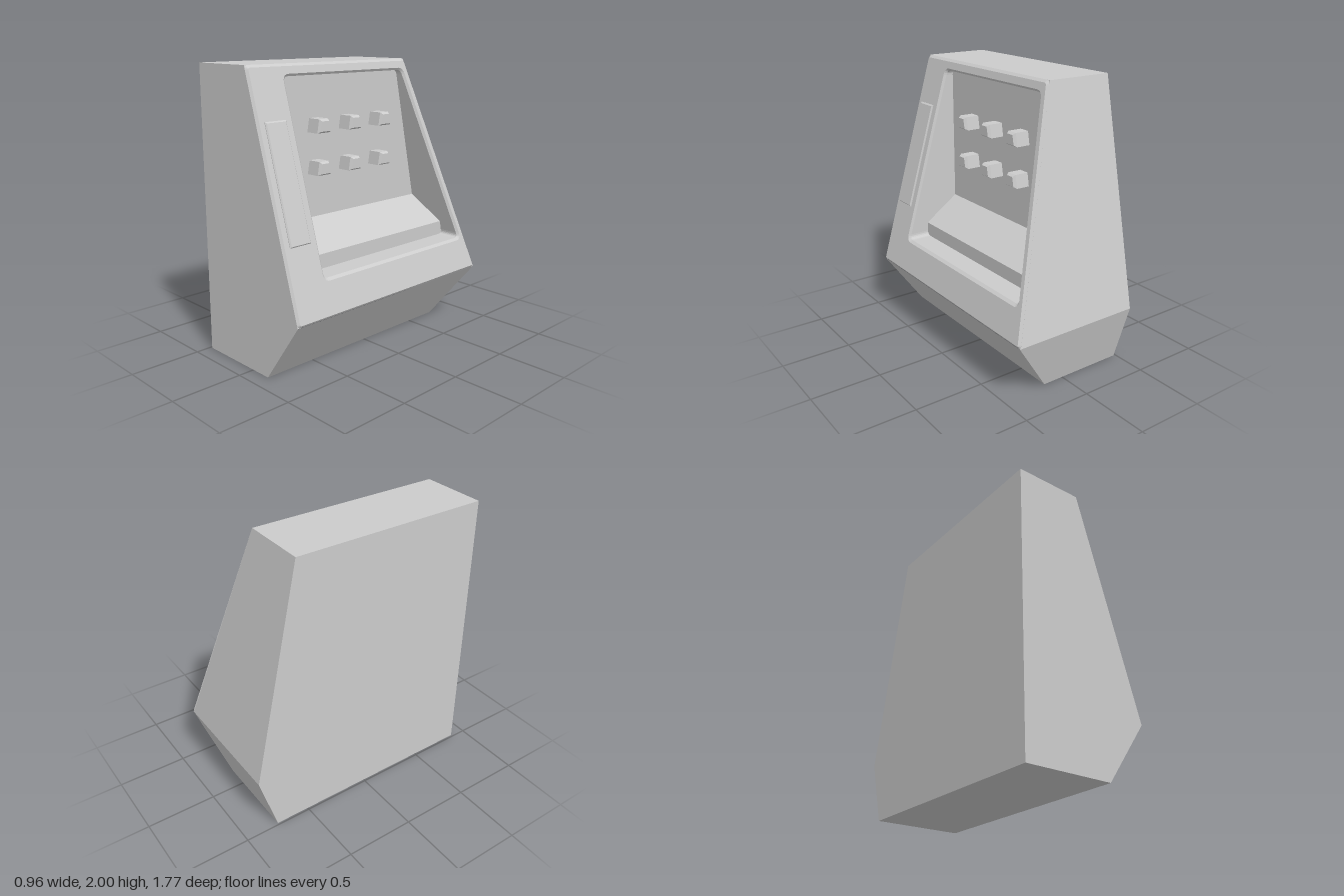
import * as THREE from 'three';

const WALL = -0.02; // x of the recess back wall
const slopeX = (y) => (2 - y) * 0.462 / 1.57; // sloped side plane
const edgeZ = (y) => -0.5 - (1.92 - y) * 0.216; // rear edge of the recess

// Closed polygon in (-z, y) with rounded corners
function roundedPath(points, r, Type = THREE.Shape) {
  const path = new Type();
  const pts = points.map(([z, y]) => new THREE.Vector2(-z, y));
  pts.forEach((p, i) => {
    const prev = pts[(i + pts.length - 1) % pts.length];
    const next = pts[(i + 1) % pts.length];
    const a = p.clone().add(prev.clone().sub(p).setLength(r));
    const b = p.clone().add(next.clone().sub(p).setLength(r));
    if (i === 0) path.moveTo(a.x, a.y); else path.lineTo(a.x, a.y);
    path.quadraticCurveTo(p.x, p.y, b.x, b.y);
  });
  path.closePath();
  return path;
}

function polygon(points) {
  return new THREE.Shape(points.map(([z, y]) => new THREE.Vector2(-z, y)));
}

// Turn a drawing in (-z, y, depth) to face +x, sheared onto a base x(y)
function faceSide(geometry, baseX) {
  const g = geometry.index ? geometry.toNonIndexed() : geometry;
  const p = g.attributes.position;
  for (let i = 0; i < p.count; i++) {
    const u = p.getX(i), y = p.getY(i), d = p.getZ(i);
    p.setXYZ(i, baseX(y) + d, y, -u);
  }
  g.computeVertexNormals();
  return g;
}

function bevelled(shape, depth, thickness, size) {
  return new THREE.ExtrudeGeometry(shape, {
    depth, bevelThickness: thickness, bevelSize: size, bevelOffset: -size,
    bevelSegments: 1, curveSegments: 5,
  });
}

// Flat-shaded quads, corners counter-clockwise from outside
function quads(list) {
  const pos = [];
  for (const [a, b, c, d] of list) pos.push(...a, ...b, ...c, ...a, ...c, ...d);
  const g = new THREE.BufferGeometry();
  g.setAttribute('position', new THREE.Float32BufferAttribute(pos, 3));
  g.computeVertexNormals();
  return g;
}

export function createModel() {
  const group = new THREE.Group();
  const grey = new THREE.MeshStandardMaterial({ color: 0xcccccc });
  const greyDouble = new THREE.MeshStandardMaterial({ color: 0xcccccc, side: THREE.DoubleSide });
  const add = (name, geometry, material = grey, parent = group) => {
    const mesh = new THREE.Mesh(geometry, material);
    mesh.name = name;
    parent.add(mesh);
    return mesh;
  };

  // Cabinet shell: three rectangular levels, upper +x face left out
  const ring = (y, x, back) => [
    [-0.485, y, 0.885], [x, y, 0.885], [x, y, back], [-0.485, y, back],
  ];
  const rings = [ring(0, 0.155, -0.75), ring(0.43, 0.465, -0.88), ring(2, 0, -0.55)];
  const faces = [[...rings[0]].reverse(), rings[2]];
  for (let l = 0; l < 2; l++) {
    for (let i = 0; i < 4; i++) {
      if (l === 1 && i === 1) continue;
      const j = (i + 1) % 4;
      faces.push([rings[l][i], rings[l][j], rings[l + 1][j], rings[l + 1][i]]);
    }
  }
  add('cabinetShell', quads(faces));

  // Sloped side with the recess opening, and a raised bevelled frame over it
  const outline = [[0.885, 0.43], [-0.885, 0.43], [-0.55, 2], [0.885, 2]];
  const opening = [[0.6, 0.67], [edgeZ(0.67), 0.67], [edgeZ(1.92), 1.92], [0.6, 1.92]];
  const hole = roundedPath(opening, 0.035, THREE.Path);
  const side = polygon(outline);
  side.holes.push(hole);
  add('slopedSide', faceSide(new THREE.ShapeGeometry(side, 5), slopeX));
  const frame = roundedPath(outline, 0.03);
  frame.holes.push(hole);
  add('raisedFrame', faceSide(bevelled(frame, 0, 0.016, 0.016), slopeX));

  // Recess: surrounding walls and upright back wall
  const loop = hole.getPoints(5);
  const walls = loop.map((a, i) => {
    const b = loop[(i + 1) % loop.length];
    return [
      [WALL, a.y, -a.x], [slopeX(a.y), a.y, -a.x],
      [slopeX(b.y), b.y, -b.x], [WALL, b.y, -b.x],
    ];
  });
  add('recessWalls', quads(walls), greyDouble);
  add('recessBack', faceSide(new THREE.ShapeGeometry(polygon(opening)), () => WALL));

  // Ledge at the foot of the recess, its rear end following the slanted edge
  const profile = new THREE.Shape([[WALL, 0.67], [0.235, 0.67], [0.235, 0.77], [WALL, 0.95]]
    .map(([x, y]) => new THREE.Vector2(x, y)));
  const ledge = new THREE.ExtrudeGeometry(profile, { depth: 1, bevelEnabled: false });
  const p = ledge.attributes.position;
  for (let i = 0; i < p.count; i++) {
    const back = edgeZ(p.getY(i));
    p.setZ(i, back + (0.6 - back) * p.getZ(i));
  }
  ledge.computeVertexNormals();
  add('recessLedge', ledge);

  // Two rows of tapered push buttons
  const buttons = new THREE.Group();
  buttons.name = 'buttons';
  group.add(buttons);
  const key = polygon([[0.057, -0.045], [-0.057, -0.045], [-0.04, 0.048], [0.04, 0.048]]);
  const keyGeometry = faceSide(bevelled(key, 0.1, 0.02, 0.013), () => WALL);
  for (const y of [1.585, 1.3]) {
    for (const z of [0.31, 0.022, -0.272]) {
      add('button', keyGeometry, grey, buttons).position.set(0, y, z);
    }
  }

  // Narrow raised plate beside the recess
  const plate = polygon([[0.83, 0.905], [0.663, 0.905], [0.663, 1.66], [0.83, 1.66]]);
  add('sidePlate', faceSide(bevelled(plate, 0.02, 0.008, 0.008), slopeX));

  return group;
}
